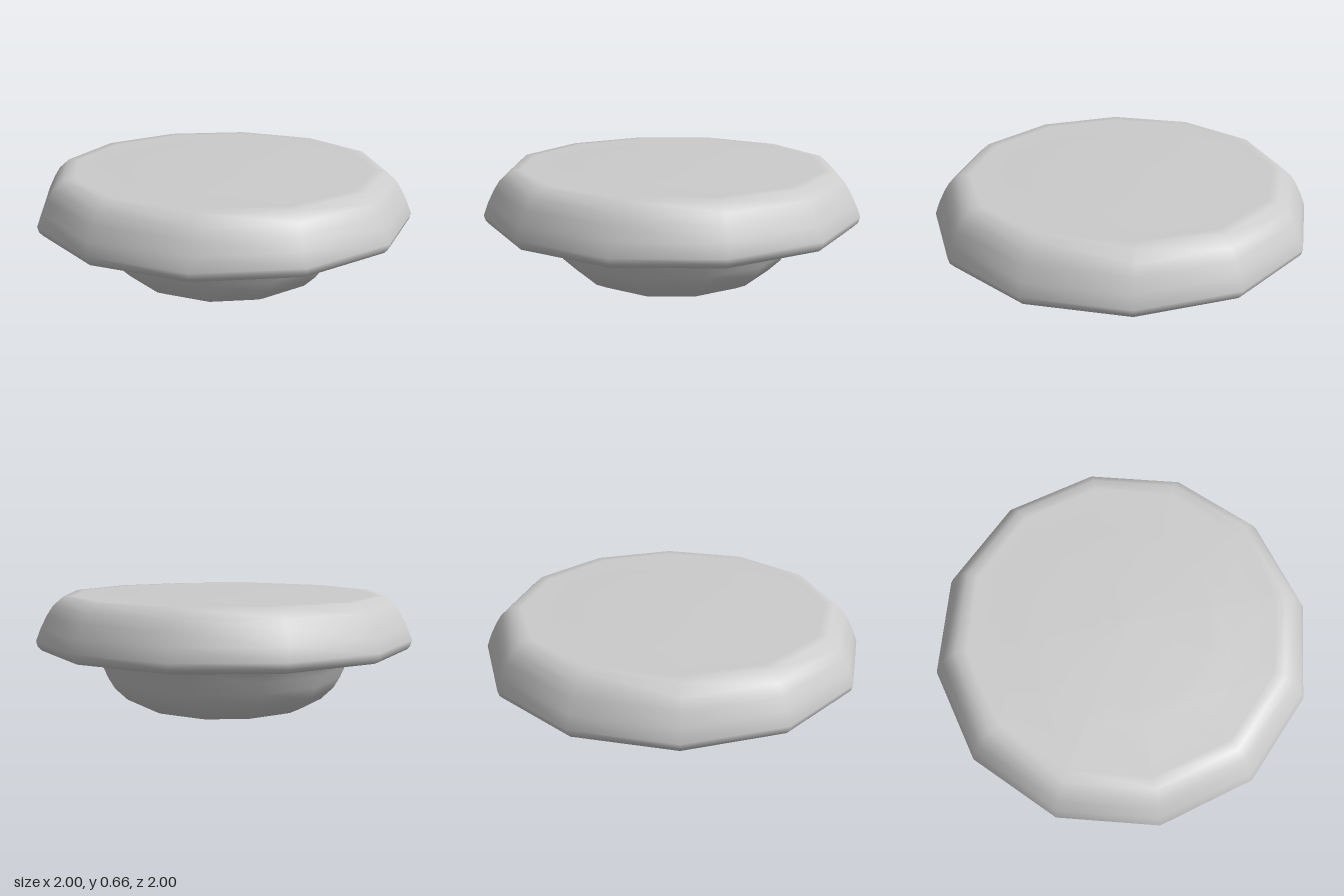
import * as THREE from 'three';

const SIDES = 12;

// Turn a profile of [radius, height] pairs, listed from the bottom up
function turned(name, profile) {
  const points = profile.map(([r, y]) => new THREE.Vector2(r, y));
  const mesh = new THREE.Mesh(
    new THREE.LatheGeometry(points, SIDES),
    new THREE.MeshStandardMaterial({ color: 0xcccccc, side: THREE.DoubleSide })
  );
  mesh.name = name;
  return mesh;
}

export function createModel() {
  const group = new THREE.Group();
  group.name = 'mushroomKnob';

  // Rounded bowl below, flaring out where it meets the cap
  group.add(turned('bowl', [
    [0, 0], [0.405, 0.043], [0.47, 0.06], [0.535, 0.092], [0.6, 0.155],
    [0.635, 0.215], [0.66, 0.275], [0.69, 0.333], [0.715, 0.358], [0.745, 0.37],
  ]));

  // Wide cap: flat underside, rounded rim, sloping side, slightly raised middle
  group.add(turned('cap', [
    [0.745, 0.37], [0.95, 0.37], [0.975, 0.376], [0.992, 0.395], [1, 0.425],
    [0.975, 0.49], [0.942, 0.555], [0.91, 0.604], [0.857, 0.65], [0.8, 0.651],
    [0.525, 0.652], [0.475, 0.66], [0, 0.661],
  ]));

  return group;
}
